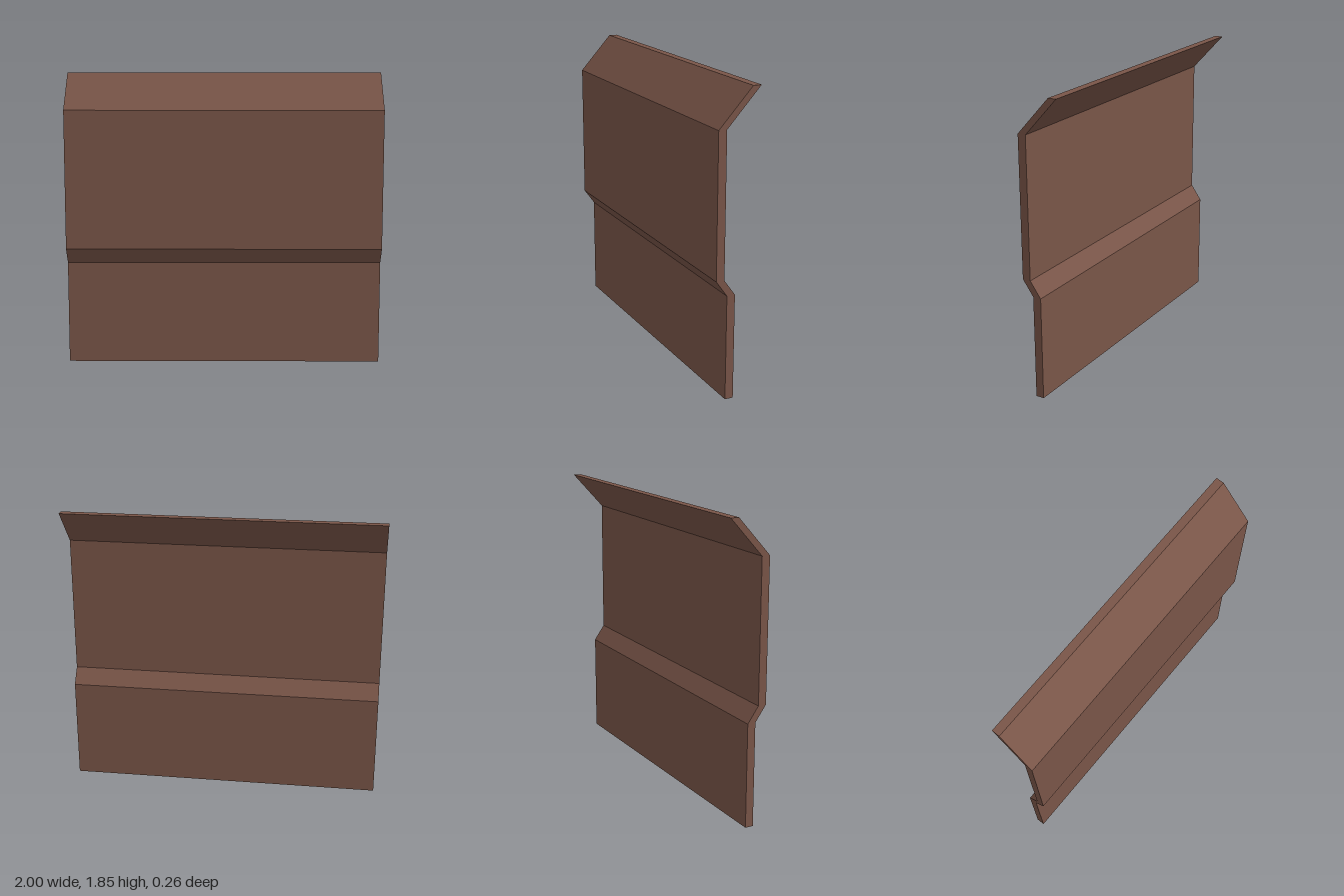
import * as THREE from 'three';

export function createModel() {
  const group = new THREE.Group();
  group.name = 'claddingBoard';

  const brown = new THREE.MeshStandardMaterial({ color: 0x795548 });
  brown.name = 'brown';

  // Front edge of the bent board as (z, y), from bottom to top
  const thickness = 0.052;
  const front = [[0.061, 0], [0.061, 0.65], [0.131, 0.748], [0.131, 1.624], [-0.079, 1.854]];
  const back = front.map(([z, y]) => [z - thickness, y]).reverse();
  const profile = new THREE.Shape([...front, ...back].map(([z, y]) => new THREE.Vector2(z, y)));

  // Sweep the profile across the full width
  const geometry = new THREE.ExtrudeGeometry(profile, { depth: 2, bevelEnabled: false });
  geometry.rotateY(-Math.PI / 2).translate(1, 0, 0);

  const board = new THREE.Mesh(geometry, brown);
  board.name = 'bentBoard';
  group.add(board);
  return group;
}
